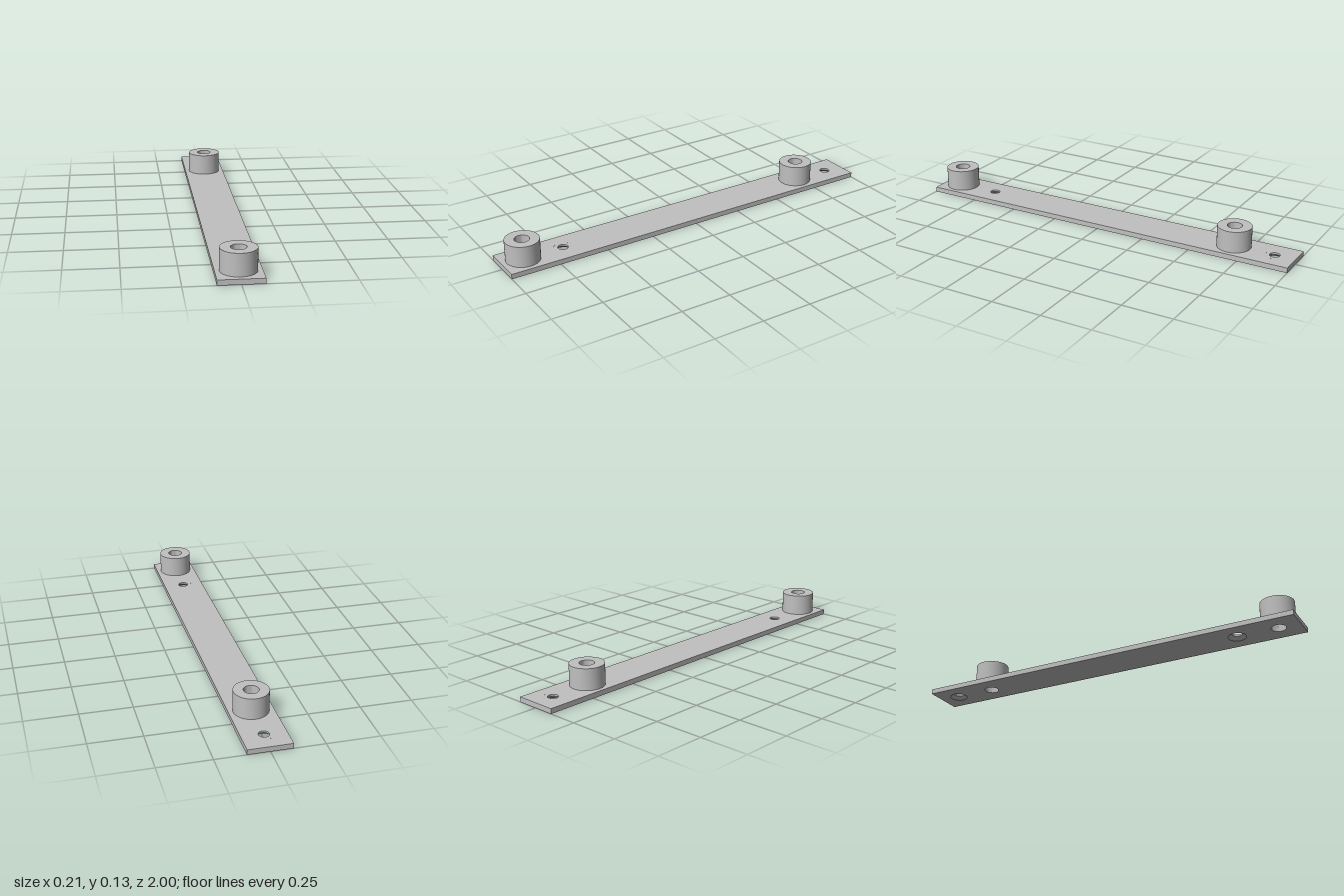
import * as THREE from 'three';
import { toCreasedNormals } from 'three/addons/utils/BufferGeometryUtils.js';

const HALF_WIDTH = 0.104, THICK = 0.025, TOP = 0.13;
const BOSS_R = 0.083, BORE_R = 0.036, SINK_R = 0.044, SCREW_R = 0.025;
const BOSS_Z = [0.893, -0.691], SCREW_Z = [0.687, -0.898];
const SEGMENTS = 48;

export function createModel() {
  const model = new THREE.Group();
  const grey = new THREE.MeshStandardMaterial({ color: 0xc0c0c0 });
  grey.name = 'light grey';

  const add = (name, geometry, z = 0) => {
    const mesh = new THREE.Mesh(toCreasedNormals(geometry, 0.5), grey);
    mesh.name = name;
    mesh.position.z = z;
    model.add(mesh);
  };
  const lathe = (points) =>
    new THREE.LatheGeometry(points.map(([r, y]) => new THREE.Vector2(r, y)), SEGMENTS);

  // Flat bar, drawn in plan (shape y becomes -z) with its four holes
  const plan = new THREE.Shape([
    new THREE.Vector2(-HALF_WIDTH, -1), new THREE.Vector2(HALF_WIDTH, -1),
    new THREE.Vector2(HALF_WIDTH, 1), new THREE.Vector2(-HALF_WIDTH, 1),
  ]);
  const cutHole = (z, r) =>
    plan.holes.push(new THREE.Path().absarc(0, -z, r, 0, Math.PI * 2, true));
  BOSS_Z.forEach((z) => cutHole(z, BORE_R));
  SCREW_Z.forEach((z) => cutHole(z, SINK_R));
  const bar = new THREE.ExtrudeGeometry(plan, {
    depth: THICK, bevelEnabled: false, curveSegments: SEGMENTS,
  });
  add('bar', bar.rotateX(-Math.PI / 2));

  // Hollow round bosses standing on the bar
  BOSS_Z.forEach((z) => add('boss', lathe([
    [BOSS_R, THICK], [BOSS_R, TOP], [BORE_R, TOP], [BORE_R, THICK],
  ]), z));

  // Screw holes, countersunk from below
  SCREW_Z.forEach((z) => add('countersunkHole', lathe([
    [SINK_R, THICK], [SCREW_R, THICK], [SCREW_R, 0.016], [SINK_R, 0],
  ]), z));

  return model;
}
